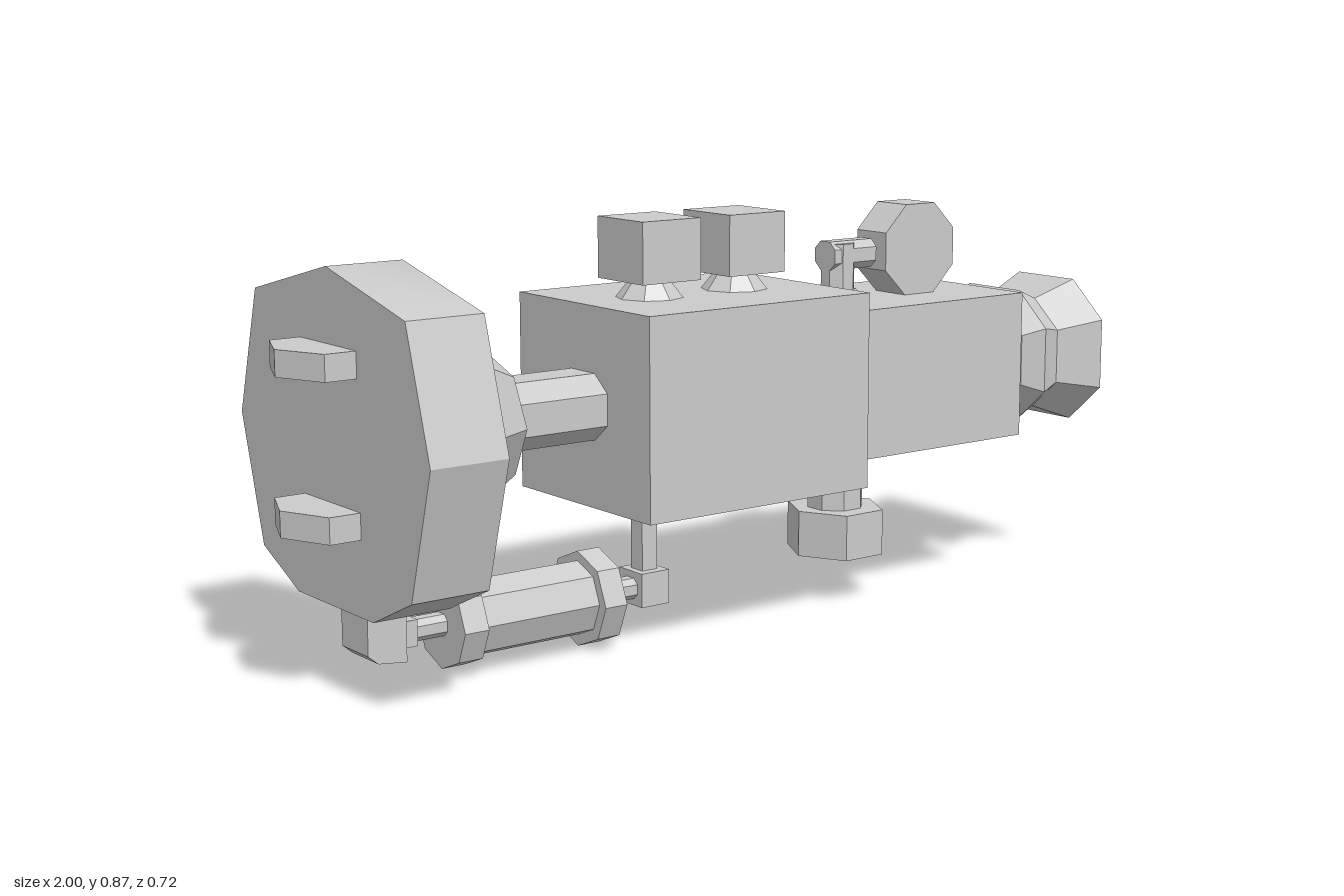
import * as THREE from 'three';
import { toCreasedNormals } from 'three/addons/utils/BufferGeometryUtils.js';

const material = new THREE.MeshStandardMaterial({ color: 0xcccccc });

// Cross-sections as [z, y], counter-clockwise seen from -x
const OCTAGON = [[1, 0.48], [0.48, 1], [-0.48, 1], [-1, 0.48], [-1, -0.48], [-0.48, -1], [0.48, -1], [1, -0.48]];
const SHIELD = [[1, 0], [0.79, 0.785], [0, 1], [-0.79, 0.785], [-1, 0], [-0.79, -0.8], [-0.4, -1], [0.4, -1], [0.79, -0.8]];
const POINTED = Array.from({ length: 8 }, (_, i) => [Math.cos(i * Math.PI / 4), Math.sin(i * Math.PI / 4)]);

// Closed loft along x; each section is [x, halfDepth, halfHeight]
function loft(outline, sections, y) {
  const n = outline.length;
  const points = [];
  const index = [];
  for (const [x, hz, hy] of sections) {
    for (const [pz, py] of outline) points.push(x, y + py * hy, pz * hz);
  }
  const last = (sections.length - 1) * n;
  for (let s = 0; s < last; s += n) {
    for (let i = 0; i < n; i++) {
      const a = s + i, b = s + (i + 1) % n;
      index.push(a, a + n, b, b, a + n, b + n);
    }
  }
  for (let i = 1; i < n - 1; i++) {
    index.push(0, i, i + 1, last, last + i + 1, last + i);
  }
  const geometry = new THREE.BufferGeometry();
  geometry.setAttribute('position', new THREE.Float32BufferAttribute(points, 3));
  geometry.setIndex(index);
  return toCreasedNormals(geometry, 0.55);
}

// Box given by its x and y ranges and half depth
function block(x0, x1, y0, y1, hz) {
  return new THREE.BoxGeometry(x1 - x0, y1 - y0, hz * 2).translate((x0 + x1) / 2, (y0 + y1) / 2, 0);
}

// Upright faceted column or cone; turn rotates it about its axis
function column(x, y0, y1, top, bottom, sides, turn = 0) {
  return toCreasedNormals(
    new THREE.CylinderGeometry(top, bottom, y1 - y0, sides).rotateY(turn).translate(x, (y0 + y1) / 2, 0), 0.55);
}

export function createModel() {
  const model = new THREE.Group();
  const add = (name, geometry) => {
    const mesh = new THREE.Mesh(geometry, material);
    mesh.name = name;
    model.add(mesh);
    return mesh;
  };
  const flat = Math.PI / 8;

  // Main housing
  add('rearHousing', block(-0.315, 0.25, 0.293, 0.706, 0.228));
  add('frontHousing', block(0.25, 0.745, 0.34, 0.66, 0.178));

  // Flared nozzle
  add('nozzle', loft(OCTAGON, [
    [0.74, 0.14, 0.122], [0.79, 0.135, 0.117], [0.832, 0.168, 0.15],
    [0.895, 0.143, 0.125], [1, 0.181, 0.163]], 0.498));

  // Rear shield with its collar and shaft
  add('shield', loft(SHIELD, [[-0.89, 0.361, 0.325], [-0.725, 0.361, 0.325], [-0.642, 0.2, 0.185]], 0.5));
  add('shieldCollar', loft(POINTED, [[-0.66, 0.21, 0.2], [-0.548, 0.15, 0.135], [-0.525, 0.085, 0.07]], 0.5));
  add('shaft', loft(OCTAGON, [[-0.55, 0.085, 0.068], [-0.31, 0.085, 0.068]], 0.502));

  // Pointed prongs behind the shield
  const prong = new THREE.Shape([[-0.88, -0.107], [-0.88, 0.107], [-0.955, 0.107], [-1, 0], [-0.955, -0.107]]
    .map(([x, z]) => new THREE.Vector2(x, z)));
  for (const y of [0.325, 0.628]) {
    add('prong', new THREE.ExtrudeGeometry(prong, { depth: 0.052, bevelEnabled: false })
      .rotateX(-Math.PI / 2).translate(0, y, 0));
  }

  // Knobs on top
  for (const x of [-0.148, 0.072]) {
    add('knobBase', column(x, 0.7, 0.75, 0.035, 0.075, 8));
    add('knob', block(x - 0.073, x + 0.073, 0.743, 0.87, 0.078));
  }

  // Gauge on a bent pipe
  add('pipeBase', column(0.365, 0.655, 0.682, 0.035, 0.062, 8));
  add('pipeRiser', column(0.358, 0.66, 0.782, 0.038, 0.038, 8, flat));
  add('pipeArm', loft(OCTAGON, [[0.322, 0.033, 0.031], [0.44, 0.033, 0.031]], 0.756));
  add('gaugeNeck', block(0.43, 0.47, 0.748, 0.77, 0.015));
  const gauge = new THREE.CylinderGeometry(0.108, 0.108, 0.095, 8).rotateY(flat).rotateX(Math.PI / 2);
  add('gauge', toCreasedNormals(gauge.translate(0.555, 0.759, 0), 0.55));

  // Grip under the front housing
  add('gripColumn', column(0.357, 0.19, 0.345, 0.063, 0.063, 8, flat));
  const foot = add('gripFoot', column(0, 0.1, 0.2, 0.116, 0.116, 6, Math.PI / 2));
  foot.scale.x = 0.89;
  foot.position.x = 0.357;

  // Piston below: hanger, rods, cylinder and rear bracket
  add('hangerCone', column(-0.165, 0.255, 0.298, 0.06, 0.022, 8));
  add('hanger', block(-0.184, -0.146, 0.13, 0.29, 0.02));
  add('hangerBlock', block(-0.2, -0.13, 0.066, 0.138, 0.04));
  add('pistonRod', loft(OCTAGON, [[-0.29, 0.024, 0.022], [-0.19, 0.024, 0.022]], 0.102));
  add('pistonCylinder', loft(POINTED, [[-0.62, 0.078, 0.078], [-0.32, 0.078, 0.078]], 0.102));
  add('rearCylinderCap', loft(POINTED, [[-0.658, 0.09, 0.09], [-0.603, 0.09, 0.09]], 0.1));
  add('frontCylinderCap', loft(POINTED, [[-0.333, 0.1, 0.1], [-0.28, 0.1, 0.1]], 0.1));
  add('rearRod', loft(OCTAGON, [[-0.74, 0.024, 0.022], [-0.65, 0.024, 0.022]], 0.102));
  add('rearSocket', block(-0.775, -0.73, 0.077, 0.13, 0.032));

  const bracket = new THREE.Shape([[-0.85, 0.19], [-0.85, 0.08], [-0.828, 0.062], [-0.765, 0.055], [-0.765, 0.19]]
    .map(([x, y]) => new THREE.Vector2(x, y)));
  add('rearBracket', new THREE.ExtrudeGeometry(bracket, { depth: 0.1, bevelEnabled: false }).translate(0, 0, -0.05));

  return model;
}
